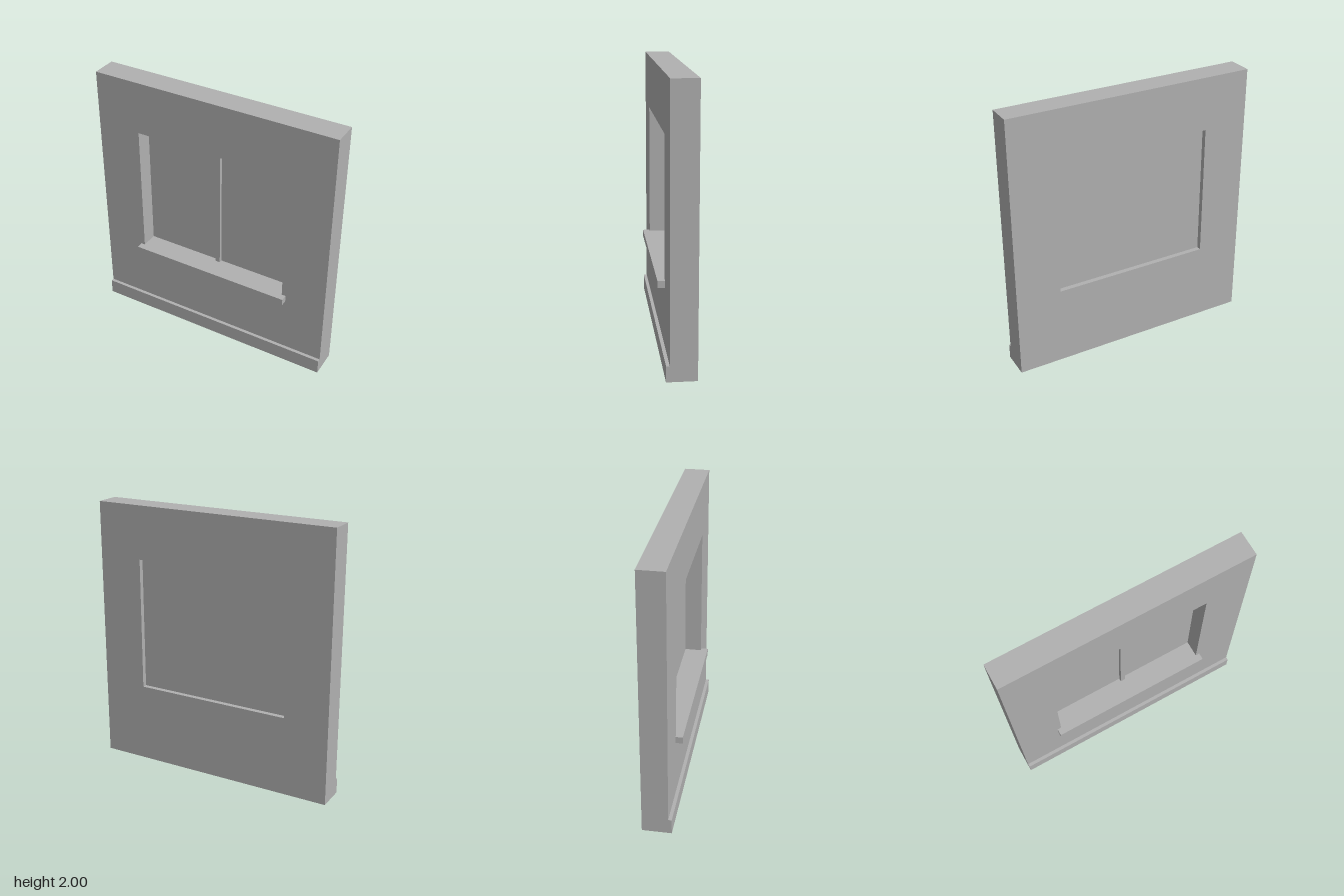
import * as THREE from 'three';

export function createModel() {
  const model = new THREE.Group();
  model.name = 'windowWall';
  const plaster = new THREE.MeshStandardMaterial({ color: 0xb0b0b0 });
  plaster.name = 'plain grey';

  function add(name, geometry) {
    const mesh = new THREE.Mesh(geometry, plaster);
    mesh.name = name;
    model.add(mesh);
  }

  // Box given by its limits on each axis
  function box(name, [x0, x1], [y0, y1], [z0, z1]) {
    const geometry = new THREE.BoxGeometry(x1 - x0, y1 - y0, z1 - z0);
    geometry.translate((x0 + x1) / 2, (y0 + y1) / 2, (z0 + z1) / 2);
    add(name, geometry);
  }

  const halfWidth = 0.935, back = -0.12, front = 0.068;
  const openX = 0.597, openBottom = 0.6, openTop = 1.6;
  const paneBack = -0.083, paneFront = -0.058;

  // Wall slab with a rectangular window opening
  const outline = new THREE.Shape([
    new THREE.Vector2(-halfWidth, 0), new THREE.Vector2(halfWidth, 0),
    new THREE.Vector2(halfWidth, 2), new THREE.Vector2(-halfWidth, 2),
  ]);
  outline.holes.push(new THREE.Path([
    new THREE.Vector2(-openX, openBottom), new THREE.Vector2(-openX, openTop),
    new THREE.Vector2(openX, openTop), new THREE.Vector2(openX, openBottom),
  ]));
  const wall = new THREE.ExtrudeGeometry(outline, { depth: front - back, bevelEnabled: false });
  wall.translate(0, 0, back);
  add('wall', wall);

  // Recessed pane and its central upright
  box('windowPane', [-openX, openX], [openBottom, openTop], [paneBack, paneFront]);
  box('mullion', [-0.019, 0.019], [openBottom, openTop], [paneFront, -0.033]);

  // Projecting ledge and skirting on the front
  box('windowSill', [-0.628, 0.628], [0.55, openBottom], [front, 0.12]);
  box('plinth', [-halfWidth, halfWidth], [0, 0.115], [front, 0.093]);

  return model;
}
